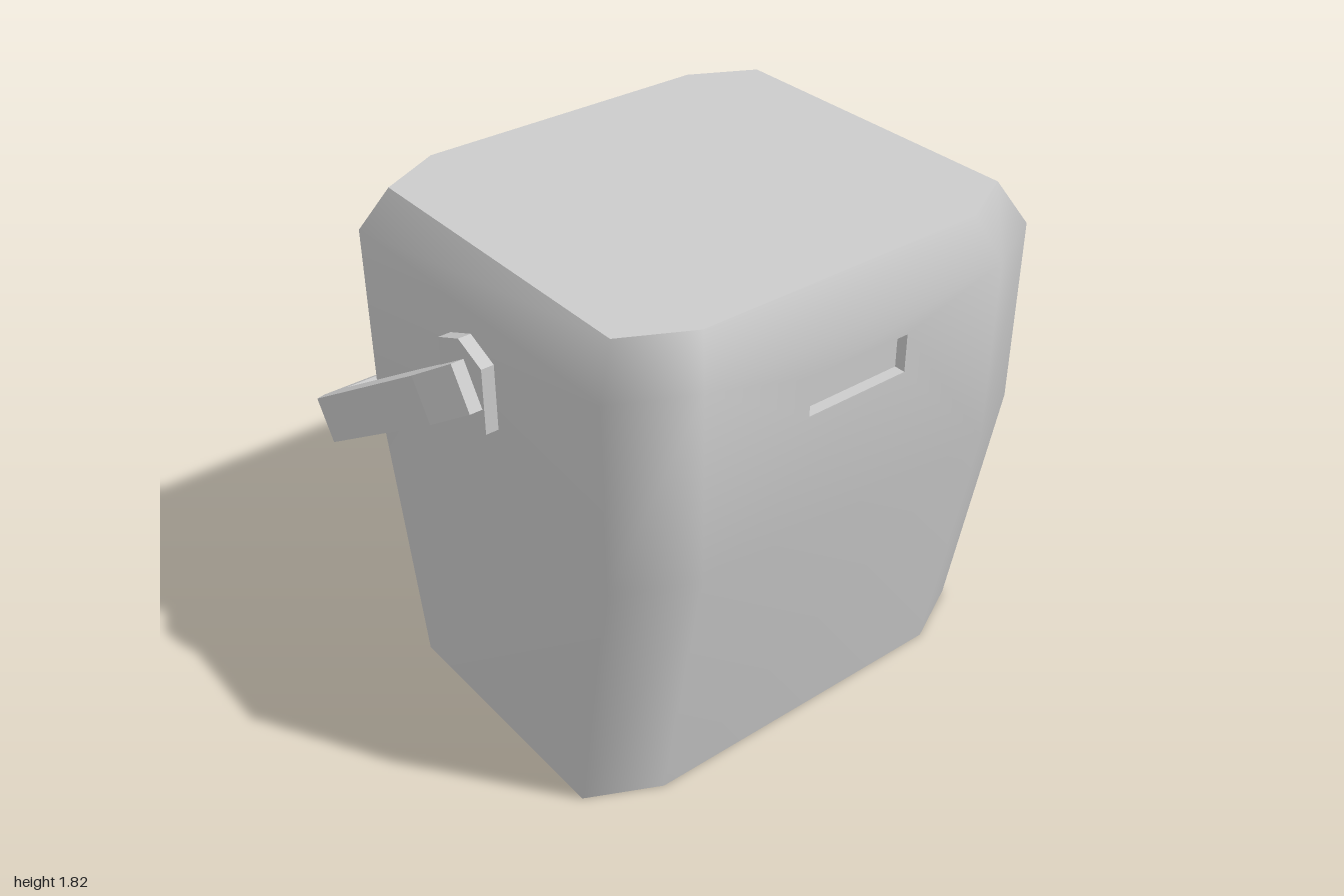
import * as THREE from 'three';

const material = new THREE.MeshStandardMaterial({ color: 0xcccccc });
const flat = new THREE.MeshStandardMaterial({ color: 0xcccccc, flatShading: true });
const inside = new THREE.MeshStandardMaterial({ color: 0xcccccc, side: THREE.BackSide });

const CX = 0.073; // body centre in x
const slot = { y0: 1.425, y1: 1.56, z: 0.197, depth: 0.04, x: CX + 0.787 };

// Chamfered rectangle; its first edge is the +x side
function ring({ y, hx, hz, cx, cz }) {
  return [
    [hx, -hz + cz], [hx, hz - cz], [hx - cx, hz], [-hx + cx, hz],
    [-hx, hz - cz], [-hx, -hz + cz], [-hx + cx, -hz], [hx - cx, -hz],
  ].map(([x, z]) => [CX + x, y, z]);
}

function bodyGeometry() {
  const rings = [
    { y: 0, hx: 0.605, hz: 0.86, cx: 0.125, cz: 0.25 },
    { y: 1.0, hx: 0.787, hz: 0.86, cx: 0.13, cz: 0.26 },
    { y: 1.67, hx: 0.787, hz: 0.86, cx: 0.13, cz: 0.26 },
    { y: 1.82, hx: 0.71, hz: 0.773, cx: 0.12, cz: 0.23 },
  ].map(ring);
  const points = rings.flat();
  const index = [];
  const quad = (a, b, c, d) => index.push(a, d, b, b, d, c);

  // Side walls, with a frame around the slot on the +x wall
  for (let j = 0; j < 3; j++) {
    for (let i = 0; i < 8; i++) {
      const k = (i + 1) % 8;
      const outer = [j * 8 + i, j * 8 + k, j * 8 + 8 + k, j * 8 + 8 + i];
      if (j === 1 && i === 0) {
        const first = points.length;
        points.push([slot.x, slot.y0, -slot.z], [slot.x, slot.y0, slot.z],
          [slot.x, slot.y1, slot.z], [slot.x, slot.y1, -slot.z]);
        for (let n = 0; n < 4; n++) {
          const m = (n + 1) % 4;
          quad(outer[n], outer[m], first + m, first + n);
        }
      } else quad(...outer);
    }
  }

  // Flat base and top on their own vertices, for sharp edges
  [rings[0], rings[3]].forEach((loop, top) => {
    const first = points.length;
    points.push(...loop);
    for (let i = 1; i < 7; i++) {
      if (top) index.push(first, first + i + 1, first + i);
      else index.push(first, first + i, first + i + 1);
    }
  });

  const geometry = new THREE.BufferGeometry();
  geometry.setAttribute('position', new THREE.Float32BufferAttribute(points.flat(), 3));
  geometry.setIndex(index);
  geometry.computeVertexNormals();
  return geometry;
}

function handleGeometry() {
  // Outline of one half: s runs from the pivot tip to the crossbar, then z
  const outer = [[0, 0.95], [0.19, 1], [1.03, 1], [1.126, 0.935]];
  const inner = [[1.03, 0.885], [0.38, 0.885], [0, 0.905]];
  const mirror = (list) => list.map(([s, z]) => [s, -z]).reverse();
  const outline = [...outer, ...mirror(outer), ...mirror(inner), ...inner];
  const shape = new THREE.Shape(outline.map(([s, z]) => new THREE.Vector2(s, z)));
  const geometry = new THREE.ExtrudeGeometry(shape, { depth: 0.163, bevelEnabled: false });
  // Swing down towards -x
  const along = new THREE.Vector3(-0.844, -0.537, 0).normalize();
  const across = new THREE.Vector3(0, 0, 1);
  const up = along.clone().cross(across);
  return geometry.applyMatrix4(
    new THREE.Matrix4().makeBasis(along, across, up).setPosition(0.18, 1.39, 0));
}

export function createModel() {
  const group = new THREE.Group();
  const add = (name, geometry, mat) => {
    const mesh = new THREE.Mesh(geometry, mat);
    mesh.name = name;
    group.add(mesh);
    return mesh;
  };

  add('body', bodyGeometry(), material);

  // Recessed grip: a box seen from inside, without its outer face
  const recess = new THREE.BoxGeometry(slot.depth, slot.y1 - slot.y0, 2 * slot.z);
  recess.setIndex(Array.from(recess.index.array).slice(6));
  recess.clearGroups();
  add('gripSlot', recess, inside)
    .position.set(slot.x - slot.depth / 2, (slot.y0 + slot.y1) / 2, 0);

  // Six-sided pivots on the front and back
  const hex = new THREE.Shape([
    [0, 0.168], [-0.12, 0.117], [-0.12, -0.117], [0, -0.168], [0.12, -0.117], [0.12, 0.117],
  ].map(([x, y]) => new THREE.Vector2(x, y)));
  const pivot = new THREE.ExtrudeGeometry(hex, { depth: 0.055, bevelEnabled: false });
  add('frontPivot', pivot, flat).position.set(0.07, 1.42, 0.85);
  add('backPivot', pivot, flat).position.set(0.07, 1.42, -0.905);

  add('handle', handleGeometry(), flat);
  return group;
}
